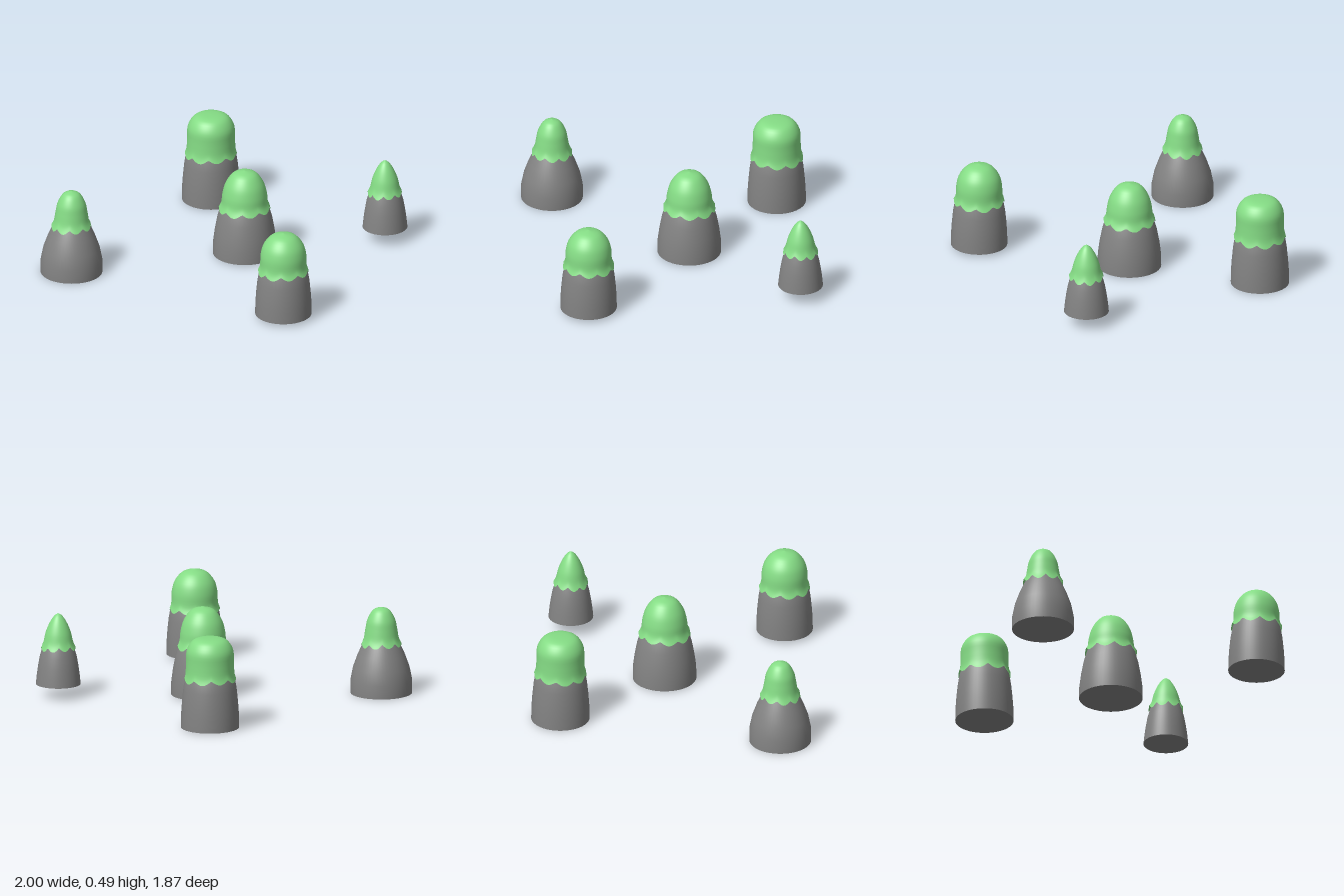
import * as THREE from 'three';

const stone = new THREE.MeshStandardMaterial({ color: 0x828282 });
stone.name = 'grey rock';
const grass = new THREE.MeshStandardMaterial({ color: 0x85dc85, side: THREE.DoubleSide });
grass.name = 'light green grass';

const SEGMENTS = 48;
const toPoints = (list) => list.map(([r, y]) => new THREE.Vector2(r, y));

// Each hill: centre, rock profile and cap profile as [radius, height], bottom to top
const hills = [
  {
    name: 'leftHill', x: -0.838, z: -0.055, waves: 9,
    rock: [[0.164, 0], [0.164, 0.07], [0.15, 0.14], [0.125, 0.21], [0.097, 0.27], [0.075, 0.31]],
    cap: [[0.107, 0.268], [0.093, 0.3], [0.084, 0.35], [0.073, 0.4], [0.043, 0.45], [0, 0.466]],
  },
  {
    name: 'middleHill', x: 0.11, z: -0.055, waves: 9,
    rock: [[0.169, 0.005], [0.168, 0.07], [0.159, 0.14], [0.146, 0.21], [0.129, 0.27], [0.11, 0.31]],
    cap: [[0.138, 0.268], [0.124, 0.3], [0.118, 0.35], [0.1, 0.41], [0.06, 0.463], [0, 0.481]],
  },
  {
    name: 'backHill', x: 0.11, z: -0.78, waves: 9,
    rock: [[0.155, 0.003], [0.154, 0.07], [0.149, 0.14], [0.142, 0.21], [0.132, 0.27], [0.115, 0.31]],
    cap: [[0.139, 0.268], [0.13, 0.3], [0.127, 0.36], [0.124, 0.42], [0.098, 0.467], [0.06, 0.486], [0, 0.49]],
  },
  {
    name: 'frontHill', x: 0.11, z: 0.78, waves: 9,
    rock: [[0.15, 0.018], [0.149, 0.08], [0.145, 0.14], [0.138, 0.21], [0.127, 0.27], [0.11, 0.31]],
    cap: [[0.135, 0.268], [0.124, 0.3], [0.121, 0.36], [0.104, 0.417], [0.062, 0.464], [0, 0.481]],
  },
  {
    name: 'rightHill', x: 0.878, z: -0.055, waves: 9,
    rock: [[0.119, 0.07], [0.114, 0.12], [0.107, 0.17], [0.098, 0.22], [0.084, 0.27], [0.068, 0.31]],
    cap: [[0.092, 0.27], [0.079, 0.3], [0.067, 0.35], [0.047, 0.4], [0.023, 0.438], [0, 0.455]],
  },
];

// Rounded cap whose lowest rings dip and rise in a scalloped hem
function capGeometry(profile, waves) {
  const curve = new THREE.SplineCurve(toPoints(profile));
  const points = curve.getPoints(20);
  points[points.length - 1].x = 0;
  const geometry = new THREE.LatheGeometry(points, SEGMENTS * 2);
  const p = geometry.attributes.position;
  const hem = profile[0][1];
  for (let i = 0; i < p.count; i++) {
    const fade = THREE.MathUtils.clamp(1 - (p.getY(i) - hem) / 0.06, 0, 1);
    const angle = Math.atan2(p.getX(i), p.getZ(i));
    const wave = 0.5 - Math.abs(Math.cos(angle * waves / 2));
    const drift = 0.004 * Math.sin(angle * 2 + 1);
    p.setY(i, p.getY(i) + (wave * 0.024 + drift) * fade);
  }
  return geometry;
}

function makeHill({ name, x, z, rock, cap, waves }) {
  const hill = new THREE.Group();
  hill.name = name;
  hill.position.set(x, 0, z);

  const body = new THREE.Mesh(new THREE.LatheGeometry(toPoints(rock), SEGMENTS), stone);
  body.name = 'rockBody';

  const base = new THREE.Mesh(new THREE.CircleGeometry(rock[0][0], SEGMENTS), stone);
  base.name = 'rockUnderside';
  base.rotation.x = Math.PI / 2;
  base.position.y = rock[0][1];

  const top = new THREE.Mesh(capGeometry(cap, waves), grass);
  top.name = 'grassCap';

  hill.add(body, base, top);
  return hill;
}

export function createModel() {
  const group = new THREE.Group();
  group.name = 'hills';
  hills.forEach((hill) => group.add(makeHill(hill)));
  return group;
}
